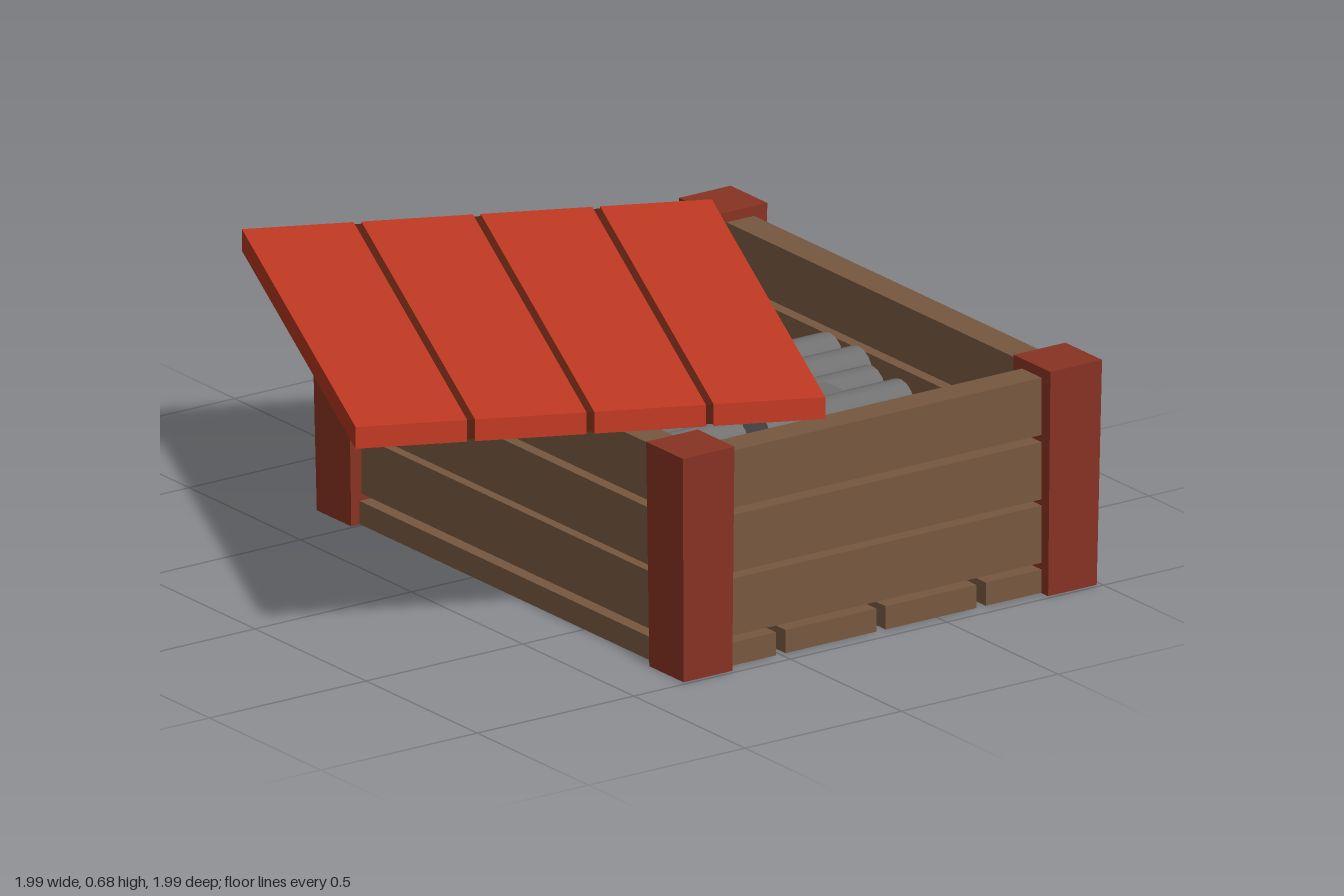
import * as THREE from 'three';

const mat = (name, color) => {
  const m = new THREE.MeshStandardMaterial({ color });
  m.name = name;
  return m;
};

export function createModel() {
  const model = new THREE.Group();
  model.name = 'openCrate';
  const wood = mat('brown wood', 0x785840);
  const postRed = mat('dark red wood', 0x883323);
  const lidRed = mat('red wood', 0xc43b23);
  const gapBrown = mat('dark gap', 0x5c2010);
  const grey = mat('grey', 0x717171);

  const add = (parent, name, geo, material, x, y, z) => {
    const mesh = new THREE.Mesh(geo, material);
    mesh.name = name;
    mesh.position.set(x, y, z);
    parent.add(mesh);
    return mesh;
  };
  const box = (parent, name, material, w, h, d, x, y, z) =>
    add(parent, name, new THREE.BoxGeometry(w, h, d), material, x, y, z);

  const crate = new THREE.Group();
  crate.name = 'crate';
  model.add(crate);
  const cx = 0.162, cz = -0.328;

  // Corner posts, slightly narrower at the foot on their outer sides
  for (const sx of [-1, 1]) {
    for (const sz of [-1, 1]) {
      const geo = new THREE.BoxGeometry(0.165, 0.622, 0.165);
      const p = geo.attributes.position;
      for (let i = 0; i < p.count; i++) {
        if (p.getY(i) > 0) continue;
        if (p.getX(i) * sx > 0) p.setX(i, p.getX(i) - sx * 0.01);
        if (p.getZ(i) * sz > 0) p.setZ(i, p.getZ(i) - sz * 0.01);
      }
      geo.computeVertexNormals();
      add(crate, 'cornerPost', geo, postRed, cx + sx * 0.753, 0.311, cz + sz * 0.587);
    }
  }

  // Three slats on every wall
  for (const y of [0.163, 0.338, 0.516]) {
    for (const s of [-1, 1]) {
      box(crate, 'longWallSlat', wood, 1.5, 0.158, 0.088, cx, y, cz + s * 0.583);
      box(crate, 'shortWallSlat', wood, 0.088, 0.158, 1.16, cx + s * 0.752, y, cz);
    }
  }

  // Floor boards
  for (let i = 0; i < 4; i++) {
    box(crate, 'floorBoard', wood, 1.59, 0.064, 0.29, cx, 0.033, 0.16 - i * 0.32);
  }

  // Bundles of three sticks held by a band
  const stick = new THREE.CylinderGeometry(0.065, 0.065, 0.46, 16).rotateX(Math.PI / 2);
  const bundle = (x, y, z, drop) => {
    const g = new THREE.Group();
    g.name = 'stickBundle';
    g.position.set(x, y, z);
    add(g, 'stick', stick, grey, -0.065, 0, 0);
    add(g, 'stick', stick, grey, 0.065, 0, 0);
    add(g, 'stick', stick, grey, 0, -drop, 0);
    box(g, 'band', grey, 0.13, 0.122, 0.13, 0, 0, 0);
    crate.add(g);
  };
  const lower = [[-0.395, -0.57], [-0.12, -0.545], [0.15, -0.58], [0.45, -0.60], [0.715, -0.61]];
  const upper = [[-0.24, -0.55], [0.045, -0.62], [0.32, -0.56], [0.58, -0.54]];
  for (const [x, z] of lower) {
    bundle(x, 0.187, z, 0.05);
    bundle(x, 0.187, z + 0.57, 0.05);
  }
  for (const [x, z] of upper) {
    bundle(x, 0.37, z, 0.11);
    bundle(x, 0.37, z + 0.53, 0.11);
  }

  // Lid of four planks, pushed aside and turned
  const lid = new THREE.Group();
  lid.name = 'lid';
  lid.position.set(-0.021, 0.651, 0.095);
  lid.rotation.y = -0.4285;
  model.add(lid);
  const pitch = 0.3165;
  for (let i = 0; i < 4; i++) {
    box(lid, 'lidPlank', lidRed, 1.577, 0.06, 0.296, 0, 0, (i - 1.5) * pitch);
  }
  for (let i = -1; i <= 1; i++) {
    box(lid, 'lidGapStrip', gapBrown, 1.56, 0.054, 0.024, 0, 0, i * pitch);
  }
  return model;
}
